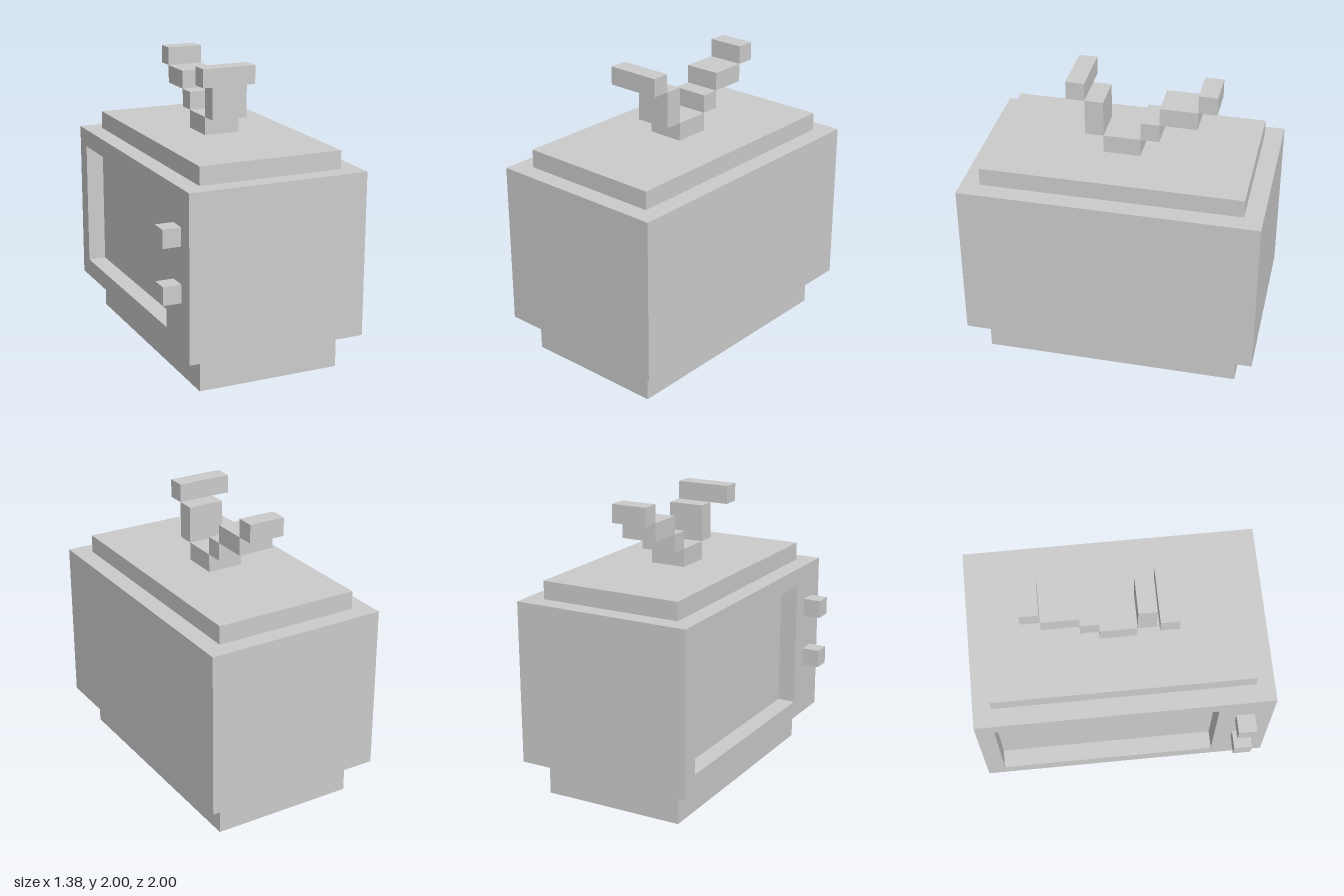
import * as THREE from 'three';

const U = 0.125; // one block
const material = new THREE.MeshStandardMaterial({ color: 0xcccccc, flatShading: true });

// Box given by its [min, max] extents along each axis
function block(name, [x0, x1], [y0, y1], [z0, z1]) {
  const mesh = new THREE.Mesh(new THREE.BoxGeometry(x1 - x0, y1 - y0, z1 - z0), material);
  mesh.position.set((x0 + x1) / 2, (y0 + y1) / 2, (z0 + z1) / 2);
  mesh.name = name;
  return mesh;
}

function rectangle(Type, z0, z1, y0, y1) {
  const path = new Type();
  path.moveTo(z0, y0);
  path.lineTo(z1, y0);
  path.lineTo(z1, y1);
  path.lineTo(z0, y1);
  path.closePath();
  return path;
}

export function createModel() {
  const model = new THREE.Group();
  model.name = 'television';

  // Base, cabinet and top step
  const inset = [-0.4375, 0.5625];
  model.add(
    block('base', inset, [0, 0.25], [-0.875, 0.875]),
    block('cabinet', [-0.4375, 0.6875], [0.25, 1.375], [-1, 1]),
    block('topPanel', inset, [1.375, 1.5], [-0.875, 0.875])
  );

  // Frame around the recessed screen on the -x side
  const outline = rectangle(THREE.Shape, -1, 1, 0.25, 1.375);
  outline.holes.push(rectangle(THREE.Path, -0.875, 0.625, 0.375, 1.25));
  const frameGeometry = new THREE.ExtrudeGeometry(outline, { depth: U, bevelEnabled: false });
  frameGeometry.rotateY(-Math.PI / 2);
  const frame = new THREE.Mesh(frameGeometry, material);
  frame.name = 'screenFrame';
  frame.position.x = -0.4375;
  model.add(frame);

  // Two knobs beside the screen
  for (const y of [0.625, 1]) {
    model.add(block('knob', [-0.6875, -0.5625], [y, y + U], [0.75, 0.875]));
  }

  // Stepped antenna: a foot with two arms spreading along z
  const antenna = new THREE.Group();
  antenna.name = 'antenna';
  const width = [-0.0625, 0.1875];
  antenna.add(
    block('antennaFoot', width, [1.5, 1.625], [-0.125, 0.125]),
    block('frontArm', width, [1.625, 1.875], [0.125, 0.25]),
    block('frontArmTip', [-0.1875, 0.1875], [1.875, 2], [0.25, 0.375]),
    block('rearArmLower', width, [1.625, 1.75], [-0.25, -0.125]),
    block('rearArmUpper', width, [1.75, 1.875], [-0.5, -0.25]),
    block('rearArmTip', width, [1.875, 2], [-0.625, -0.5])
  );
  model.add(antenna);

  return model;
}
